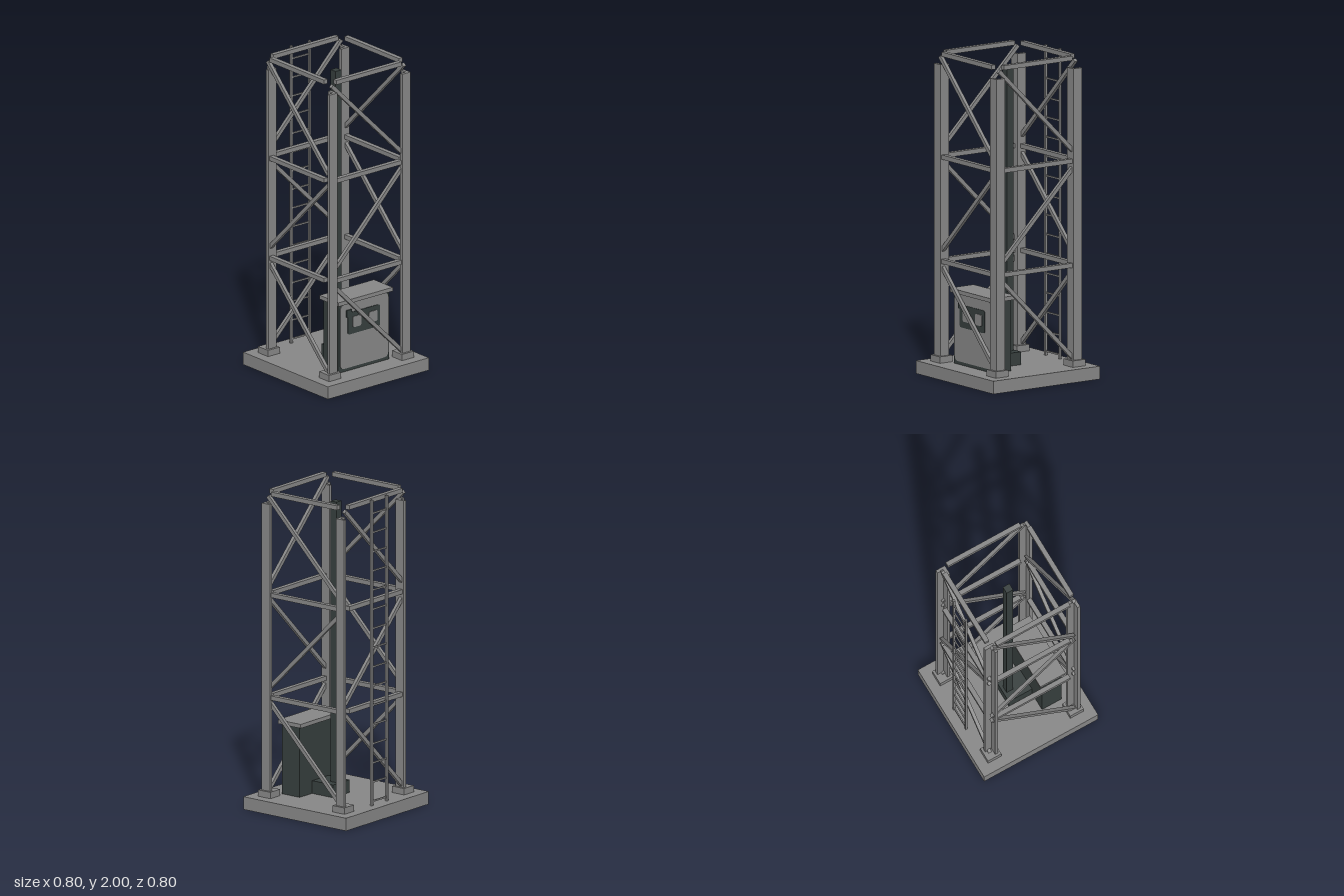
import * as THREE from 'three';

const steel = new THREE.MeshStandardMaterial({ color: 0x868686 });
steel.name = 'grey steel';
const dark = new THREE.MeshStandardMaterial({ color: 0x363e3d });
dark.name = 'dark paint';

// Box given by its limits on each axis
function box(parent, name, mat, [x0, x1], [y0, y1], [z0, z1]) {
  const mesh = new THREE.Mesh(new THREE.BoxGeometry(x1 - x0, y1 - y0, z1 - z0), mat);
  mesh.position.set((x0 + x1) / 2, (y0 + y1) / 2, (z0 + z1) / 2);
  mesh.name = name;
  parent.add(mesh);
  return mesh;
}

// Thin plate with rounded corners, facing +z
function plate(parent, name, mat, [x0, x1], [y0, y1], z, r, depth = 0.004) {
  const s = new THREE.Shape();
  s.moveTo(x0 + r, y0);
  s.lineTo(x1 - r, y0);
  s.quadraticCurveTo(x1, y0, x1, y0 + r);
  s.lineTo(x1, y1 - r);
  s.quadraticCurveTo(x1, y1, x1 - r, y1);
  s.lineTo(x0 + r, y1);
  s.quadraticCurveTo(x0, y1, x0, y1 - r);
  s.lineTo(x0, y0 + r);
  s.quadraticCurveTo(x0, y0, x0 + r, y0);
  const geo = new THREE.ExtrudeGeometry(s, { depth, bevelEnabled: false, curveSegments: 5 });
  const mesh = new THREE.Mesh(geo, mat);
  mesh.position.z = z;
  mesh.name = name;
  parent.add(mesh);
}

// One side of the tower, built facing +z: level bars and zigzag braces
function towerSide() {
  const side = new THREE.Group();
  side.name = 'towerSide';
  const z = 0.2965;
  for (const y of [0.705, 1.35, 1.986]) {
    box(side, 'levelBar', steel, [-0.257, 0.257], [y - 0.014, y + 0.014], [z - 0.015, z + 0.015]);
  }
  [0.4, 1.04, 1.68].forEach((y, i) => {
    const brace = box(side, 'diagonalBrace', steel, [-0.405, 0.405], [-0.012, 0.012], [z - 0.011, z + 0.011]);
    brace.position.y = y;
    brace.rotation.z = (i % 2 ? 1 : -1) * Math.PI / 4;
  });
  return side;
}

export function createModel() {
  const model = new THREE.Group();
  model.name = 'latticeTower';

  // Base slab
  box(model, 'baseSlab', steel, [-0.4, 0.4], [0, 0.08], [-0.4, 0.4]);

  // Angle-section legs, all turned the same way, on foot pads
  const c = 0.2885;
  for (const sx of [-1, 1]) {
    for (const sz of [-1, 1]) {
      const leg = new THREE.Group();
      leg.name = 'leg';
      leg.position.set(sx * c, 0, sz * c);
      box(leg, 'footPad', steel, [-0.047, 0.047], [0.08, 0.12], [-0.047, 0.047]);
      box(leg, 'legSideFlange', steel, [0.012, 0.032], [0.12, 1.922], [-0.032, 0.032]);
      box(leg, 'legFrontFlange', steel, [-0.032, 0.012], [0.12, 1.922], [0.012, 0.032]);
      model.add(leg);
    }
  }

  // Four braced sides
  for (let i = 0; i < 4; i++) {
    const side = towerSide();
    side.rotation.y = i * Math.PI / 2;
    model.add(side);
  }

  // Central mast and its foot
  box(model, 'mast', dark, [-0.023, 0.023], [0.16, 1.922], [-0.023, 0.023]);
  box(model, 'mastFoot', dark, [-0.08, 0.08], [0.08, 0.16], [-0.041, 0.122]);

  // Ladder on the back
  const ladder = new THREE.Group();
  ladder.name = 'ladder';
  for (const x of [-0.073, 0.073]) {
    box(ladder, 'ladderRail', steel, [x - 0.0075, x + 0.0075], [0.08, 2], [-0.344, -0.33]);
  }
  for (let i = 0; i < 16; i++) {
    const y = 1.915 - i * 0.1206;
    box(ladder, 'rung', steel, [-0.066, 0.066], [y - 0.005, y + 0.005], [-0.341, -0.333]);
  }
  model.add(ladder);

  // Control cabinet with roof, door and panel
  const cabinet = new THREE.Group();
  cabinet.name = 'cabinet';
  box(cabinet, 'cabinetBody', dark, [-0.2, 0.2], [0.08, 0.52], [0.122, 0.26]);
  box(cabinet, 'cabinetRoof', steel, [-0.215, 0.215], [0.52, 0.545], [0.102, 0.28]);
  plate(cabinet, 'door', steel, [-0.187, 0.193], [0.1, 0.515], 0.26, 0.035);
  plate(cabinet, 'controlPanel', dark, [-0.13, 0.125], [0.315, 0.455], 0.264, 0.015);
  plate(cabinet, 'doorLatch', dark, [-0.142, -0.1], [0.43, 0.475], 0.264, 0.004, 0.008);
  for (const x of [-0.06, 0.068]) {
    plate(cabinet, 'panelDial', steel, [x - 0.034, x + 0.034], [0.355, 0.425], 0.268, 0.015);
  }
  model.add(cabinet);

  return model;
}
